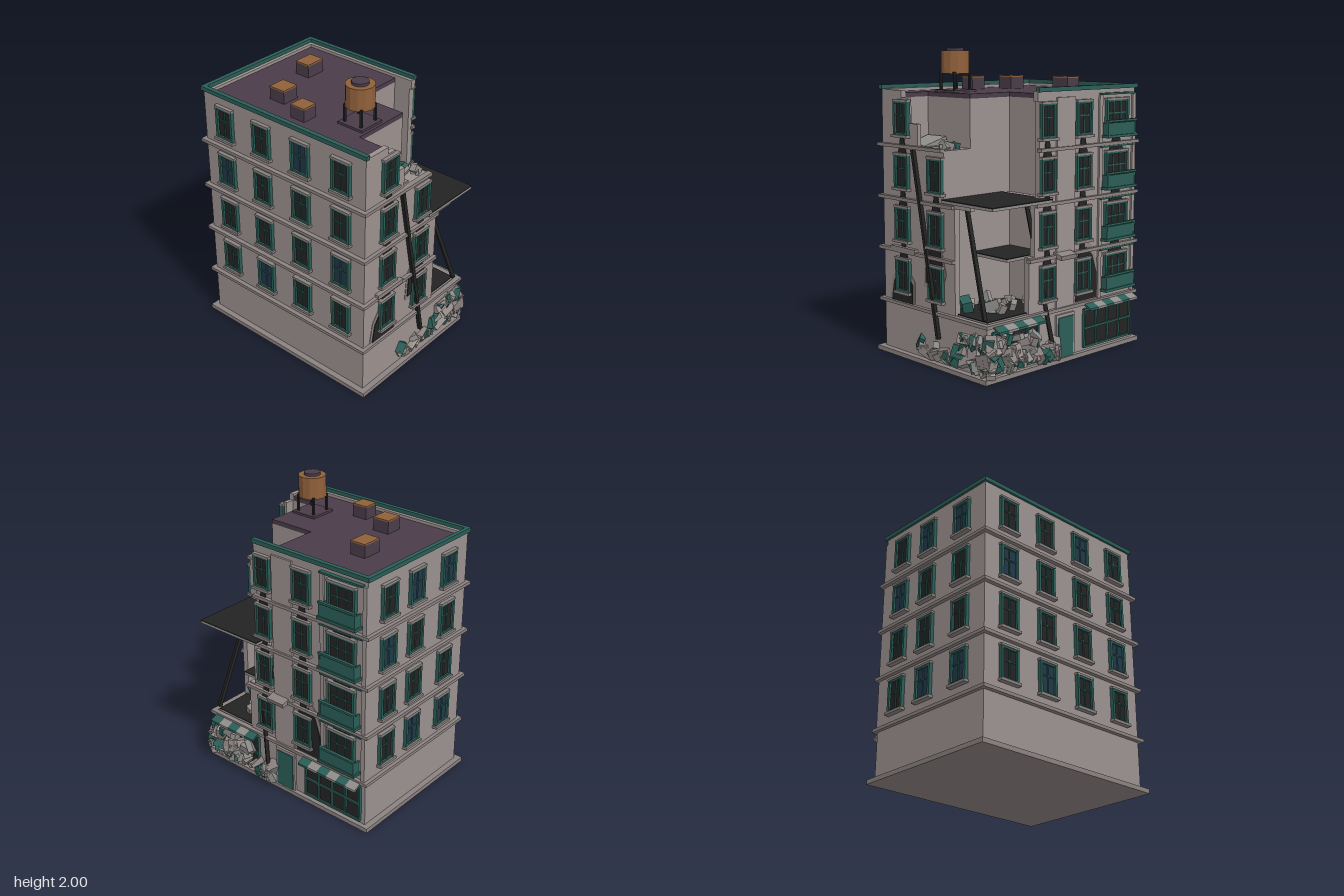
import * as THREE from 'three';

const mat = (name, color, side = THREE.FrontSide) => {
  const m = new THREE.MeshStandardMaterial({ color, side });
  m.name = name;
  return m;
};

export function createModel() {
  const root = new THREE.Group();
  root.name = 'ruinedApartmentBuilding';
  const wall = mat('wallPlaster', 0x9b918f), trim = mat('stoneTrim', 0x8b8280), teal = mat('tealPaint', 0x2b5e57),
    roofMat = mat('roofFelt', 0x4a3c49), rust = mat('rustWood', 0x90603a), dark = mat('sootBlack', 0x232323),
    blue = mat('blueGlass', 0x22364a), concrete = mat('concrete', 0x8f8d8a);

  const add = (name, geo, m, parent = root) => {
    const o = new THREE.Mesh(geo, m);
    o.name = name;
    parent.add(o);
    return o;
  };
  // box from min/max on each axis
  const box = (name, m, x0, x1, y0, y1, z0, z1, parent = root) => {
    const o = add(name, new THREE.BoxGeometry(x1 - x0, y1 - y0, z1 - z0), m, parent);
    o.position.set((x0 + x1) / 2, (y0 + y1) / 2, (z0 + z1) / 2);
    return o;
  };
  const shape = pts => new THREE.Shape(pts.map(p => new THREE.Vector2(p[0], p[1])));
  const plate = (name, m, pts, d, parent) =>
    add(name, new THREE.ExtrudeGeometry(shape(pts), { depth: d, bevelEnabled: false }), m, parent);
  // group on a wall: local +z points outwards, t is the world coordinate along the wall
  const onWall = (name, side, t, y) => {
    const g = new THREE.Group();
    g.name = name;
    const [x, z, r] = { front: [t, 0.67, 0], back: [t, -0.67, Math.PI], right: [0.48, t, Math.PI / 2], left: [-0.52, t, -Math.PI / 2] }[side];
    g.position.set(x, y, z);
    g.rotation.y = r;
    root.add(g);
    return g;
  };

  // plinth and solid blocks
  box('plinth', trim, -0.56, 0.51, 0, 0.03, -0.71, 0.71);
  box('groundStorey', wall, -0.52, 0.48, 0.03, 0.35, -0.67, 0.67);
  box('rearBlock', wall, -0.52, 0.48, 0.35, 1.69, -0.67, 0.11);
  box('middleBlock', wall, -0.52, 0.09, 0.35, 1.69, 0.11, 0.45);
  box('frontBlock', wall, -0.52, 0.09, 0.35, 1.38, 0.45, 0.67);
  box('frontCornerBlock', wall, -0.52, -0.32, 1.38, 1.69, 0.45, 0.67);
  // broken wall remnants around the collapsed corner
  box('brokenFrontWall', wall, -0.32, -0.255, 1.38, 1.69, 0.64, 0.67);
  box('brokenFrontWallStep', wall, -0.255, -0.16, 1.38, 1.53, 0.64, 0.67);
  box('frontWallRemnant', wall, 0.09, 0.19, 0.35, 1.06, 0.63, 0.67);
  box('rightWallUpper', wall, 0.44, 0.48, 1.08, 1.7, 0.11, 0.23);
  box('rightWallLower', wall, 0.44, 0.48, 0.35, 1.06, 0.11, 0.27);
  box('rightWallStep', wall, 0.44, 0.48, 0.35, 0.72, 0.27, 0.32);
  box('innerLedge', wall, 0.09, 0.45, 1.04, 1.075, 0.11, 0.18);

  // collapsed floors
  const floors = [[0.09, 0.55, 1.06, 0.18, 0.69], [0.09, 0.41, 0.7, 0.11, 0.44], [0.09, 0.46, 0.35, 0.11, 0.65]];
  for (const [x0, x1, y, z0, z1] of floors) {
    box('floorSlab', concrete, x0, x1, y, y + 0.016, z0, z1);
    box('burntFloor', dark, x0, x1, y + 0.016, y + 0.022, z0, z1);
  }
  box('slabBracket', wall, 0.19, 0.34, 1.035, 1.06, 0.64, 0.675);
  box('roomFloor', concrete, -0.32, -0.08, 1.38, 1.39, 0.45, 0.64);
  const fallen = box('fallenSlab', concrete, -0.3, -0.12, 1.37, 1.42, 0.46, 0.64);
  fallen.rotation.x = 0.28;

  // string courses: front end x, right end z
  const courses = [[0.35, 0.505, 0.695], [0.7, 0.19, 0.33], [1.04, 0.19, 0.27], [1.38, 0.09, 0.24]];
  for (const [y, fx, rz] of courses) {
    box('frontCourse', trim, -0.55, fx, y - 0.01, y + 0.012, 0.66, 0.695);
    box('backCourse', trim, -0.55, 0.505, y - 0.01, y + 0.012, -0.695, -0.66);
    box('leftCourse', trim, -0.55, -0.51, y - 0.01, y + 0.012, -0.695, 0.695);
    box('rightCourse', trim, 0.47, 0.505, y - 0.01, y + 0.012, -0.695, rz);
  }
  box('looseCourse', trim, -0.415, -0.17, 0.7, 0.73, 0.67, 0.7);
  box('looseLedge', trim, 0.47, 0.55, 0.69, 0.72, -0.04, 0.1).rotation.z = -0.25;

  // pilasters on the right wall
  for (const [a, b] of [[-0.08, 0.085], [-0.34, -0.31], [-0.67, -0.64]])
    box('pilaster', wall, 0.47, 0.493, 0.36, 1.7, a, b);

  // roof, parapet and coping
  const roof = plate('roofDeck', roofMat, [[-0.485, 0.645], [0.44, 0.645], [0.44, -0.11], [0.09, -0.11], [0.09, -0.45],
    [-0.32, -0.45], [-0.32, -0.64], [-0.485, -0.64]], 0.03);
  roof.rotation.x = -Math.PI / 2;
  roof.position.y = 1.69;
  for (const [n, m, y0, y1, o, w] of [['parapet', wall, 1.68, 1.74, 0, 0.04], ['coping', teal, 1.737, 1.765, 0.014, 0.03]]) {
    box(n, m, -0.52 - o, -0.52 - o + w, y0, y1, -0.67 - o, 0.67 + o);
    box(n, m, -0.52 - o, 0.48 + o, y0, y1, -0.67 - o, -0.67 - o + w);
    box(n, m, 0.48 + o - w, 0.48 + o, y0, y1, -0.67 - o, 0.245);
  }
  box('frontParapet', wall, -0.52, -0.32, 1.68, 1.735, 0.635, 0.67);

  // roof vents
  for (const [x, z, w, d] of [[0.135, -0.365, 0.14, 0.11], [-0.25, -0.23, 0.12, 0.12], [-0.35, 0.03, 0.105, 0.11]]) {
    box('ventBox', roofMat, x - w / 2, x + w / 2, 1.71, 1.8, z - d / 2, z + d / 2);
    box('ventLid', rust, x - w / 2, x + w / 2, 1.8, 1.81, z - d / 2, z + d / 2);
  }

  // water tank
  const tank = new THREE.Group();
  tank.name = 'waterTank';
  tank.position.set(-0.18, 0, 0.335);
  root.add(tank);
  box('tankBase', roofMat, -0.095, 0.095, 1.715, 1.735, -0.095, 0.095, tank);
  for (const x of [-0.065, 0.065]) for (const z of [-0.065, 0.065])
    box('tankLeg', dark, x - 0.007, x + 0.007, 1.73, 1.85, z - 0.007, z + 0.007, tank);
  const barrelGeo = new THREE.CylinderGeometry(0.093, 0.093, 0.145, 12).toNonIndexed();
  barrelGeo.computeVertexNormals();
  add('tankBarrel', barrelGeo, rust, tank).position.y = 1.91;
  add('tankCap', new THREE.CylinderGeometry(0.055, 0.055, 0.025, 12), roofMat, tank).position.y = 1.988;

  // windows
  const storeys = [0.54, 0.88, 1.22, 1.56];
  const windowAt = (side, t, y, w, glass, soot) => {
    const g = onWall('window', side, t, y), h = 0.21, a = w / 2, b = h / 2;
    box('glass', glass, -a, a, -b, b, -0.01, 0.01, g);
    for (const s of [-1, 1]) {
      box('frameSide', teal, s * a - 0.009, s * a + 0.009, -b, b, -0.01, 0.024, g);
      box('frameRail', teal, -a, a, s * (b - 0.006) - 0.007, s * (b - 0.006) + 0.007, -0.01, 0.022, g);
    }
    const n = w > 0.15 ? 3 : 2;
    for (let i = 1; i < n; i++) box('mullion', teal, -a + w * i / n - 0.004, -a + w * i / n + 0.004, -b, b, 0, 0.016, g);
    box('transom', teal, -a, a, 0.015, 0.023, 0, 0.016, g);
    box('sill', trim, -a - 0.018, a + 0.018, -b - 0.018, -b, -0.01, 0.035, g);
    box('lintel', trim, -a - 0.012, a + 0.012, b, b + 0.014, -0.01, 0.026, g);
    if (soot) {
      const p = plate('sootMark', dark, [[-a * 0.75, 0], [a * 0.75, 0], [a * 0.5, 0.05], [a * 0.35, 0.1], [a * 0.1, 0.125],
        [-a * 0.3, 0.115], [-a * 0.45, 0.06]], 0.004, g);
      p.position.set(0, b + 0.002, side === 'right' ? 0.004 : 0.003);
    }
  };
  storeys.forEach((y, i) => {
    windowAt('front', -0.31, y, 0.12, dark, i < 3);
    if (i < 3) windowAt('front', 0.02, y, 0.12, dark, i < 2);
    [-0.31, 0.02, 0.29].forEach((x, j) => windowAt('back', x, y, 0.125, (i + j * 2 + (j === 1 ? 1 : 0)) % 3 ? dark : blue, false));
    [-0.48, -0.16, 0.165, 0.49].forEach((z, j) => windowAt('left', z, y, 0.125, (i * 3 + j) % 5 === 1 ? blue : dark, false));
    windowAt('right', 0.165, y, 0.11, dark, i < 3);
    windowAt('right', -0.16, y, 0.125, dark, i < 3);
    windowAt('right', -0.48, y, 0.2, dark, i < 3);
    // balcony
    const g = onWall('balcony', 'right', -0.48, y - 0.125);
    box('balconyFloor', teal, -0.15, 0.15, -0.012, 0.006, 0, 0.068, g);
    box('balconyFront', teal, -0.138, 0.138, 0, 0.085, 0.05, 0.06, g);
    box('balconyRail', teal, -0.142, 0.142, 0.09, 0.104, 0.046, 0.066, g);
    for (const s of [-1, 1]) {
      box('balconySide', teal, s * 0.134 - 0.005, s * 0.134 + 0.005, 0, 0.085, 0, 0.055, g);
      box('balconyPost', teal, s * 0.134 - 0.006, s * 0.134 + 0.006, 0, 0.1, 0.048, 0.062, g);
    }
    box('balconyHood', teal, -0.165, 0.165, 0.265, 0.277, 0, 0.028, g);
  });

  // blast holes with chipped rims (u runs along the wall)
  const hole = (side, cx, cy, pts) => {
    const g = onWall('blastHole', side, 0, 0), s = side === 'right' ? -1 : 1;
    const scaled = k => pts.map(([t, y]) => [s * (cx + (t - cx) * k), cy + (y - cy) * k]);
    plate('holeRim', trim, scaled(1.22), 0.003, g);
    plate('holeDark', dark, scaled(1), 0.008, g);
  };
  hole('front', -0.33, 0.4, [[-0.44, 0.36], [-0.415, 0.49], [-0.35, 0.58], [-0.28, 0.55], [-0.225, 0.49], [-0.225, 0.36]]);
  hole('front', 0, 0.67, [[-0.09, 0.53], [-0.08, 0.7], [-0.02, 0.78], [0, 0.87], [0.07, 0.8], [0.06, 0.72], [0.09, 0.62], [0.05, 0.52]]);
  hole('right', 0.15, 0.87, [[0.21, 0.79], [0.21, 0.92], [0.16, 0.98], [0.11, 0.95], [0.08, 0.87], [0.12, 0.78]]);
  hole('right', -0.2, 0.45, [[-0.1, 0.37], [-0.12, 0.58], [-0.2, 0.72], [-0.26, 0.66], [-0.3, 0.54], [-0.3, 0.37]]);

  // shop fronts with striped awnings
  for (const [z0, z1, n] of [[0.25, 0.63, 5], [-0.635, -0.18, 6]]) {
    const w = z1 - z0, g = onWall('shopFront', 'right', (z0 + z1) / 2, 0);
    box('shopGlass', dark, -w / 2, w / 2, 0.05, 0.31, 0, 0.008, g);
    for (let i = 0; i <= 4; i++) box('shopMullion', teal, -w / 2 + w * i / 4 - 0.006, -w / 2 + w * i / 4 + 0.006, 0.05, 0.31, 0, 0.02, g);
    for (const y of [0.055, 0.18, 0.305]) box('shopRail', teal, -w / 2, w / 2, y - 0.007, y + 0.007, 0, 0.019, g);
    const sw = (w + 0.02) / n;
    for (let i = 0; i < n; i++) {
      const stripe = plate('awningStripe', i % 2 ? concrete : teal, [[0, 0.36], [0, 0.35], [0.072, 0.31], [0.077, 0.31], [0.077, 0.325]].reverse(), sw, g);
      stripe.rotation.y = -Math.PI / 2;
      stripe.position.x = -w / 2 - 0.01 + sw * (i + 1);
    }
  }
  const door = onWall('streetDoor', 'right', 0, 0.03);
  box('doorSurround', wall, -0.085, 0.085, 0, 0.285, 0, 0.014, door);
  box('doorLeaf', teal, -0.068, 0.068, 0, 0.265, 0, 0.02, door);

  // leaning scorched beams
  const beam = (a, b) => {
    const p = new THREE.Vector3(...a), q = new THREE.Vector3(...b);
    const o = add('burntBeam', new THREE.BoxGeometry(0.024, 0.024, p.distanceTo(q)), dark);
    o.position.copy(p).add(q).multiplyScalar(0.5);
    o.lookAt(q);
  };
  beam([-0.19, 1.37, 0.685], [0.05, 0.19, 0.692]);
  beam([0.21, 1.05, 0.59], [0.45, 0.38, 0.66]);
  beam([0.425, 1.06, 0.29], [0.515, 0.13, 0.14]);

  // rubble heap
  let seed = 7;
  const rnd = () => (seed = (seed * 16807) % 2147483647) / 2147483647;
  const chunk = (x, y, z, s, m, floor = 0.03) => {
    const o = add('rubbleChunk', new THREE.BoxGeometry(s, s * (0.5 + rnd() * 0.4), s * (0.3 + rnd() * 0.4)), m);
    o.position.set(x, y, z);
    o.rotation.set(rnd() * 1.2 - 0.6, rnd() * 1.6 - 0.8, rnd() * 1.6 - 0.8);
    const b = new THREE.Box3().setFromObject(o, true);
    o.position.x -= Math.max(0, b.max.x - 0.56);
    o.position.z -= Math.max(0, b.max.z - 0.71);
    o.position.y += Math.max(0, floor - b.min.y);
  };
  const mats = [concrete, wall, teal, trim, concrete];
  for (let i = 0; i < 46; i++) {
    const x = -0.14 + rnd() * 0.68, h = 0.05 + 0.17 * Math.min(1, (x + 0.2) / 0.45);
    chunk(x, 0.04 + rnd() * h, 0.69, 0.05 + rnd() * 0.07, mats[i % 5]);
  }
  for (let i = 0; i < 46; i++) {
    const z = 0.1 + rnd() * 0.6, h = 0.08 + 0.16 * Math.min(1, z / 0.5);
    chunk(0.515, 0.04 + rnd() * h, z, 0.05 + rnd() * 0.07, mats[i % 5]);
  }
  for (let i = 0; i < 12; i++) chunk(0.14 + rnd() * 0.28, 0.39, 0.2 + rnd() * 0.4, 0.05 + rnd() * 0.07, mats[(i * 2) % 5], 0.36);
  for (let i = 0; i < 6; i++) chunk(-0.04 + rnd() * 0.1, 1.39, 0.5 + rnd() * 0.13, 0.07, i % 3 ? concrete : teal, 1.36);
  chunk(-0.16, 0.15, 0.69, 0.12, teal);
  chunk(0.25, 0.22, 0.69, 0.15, teal);
  return root;
}
